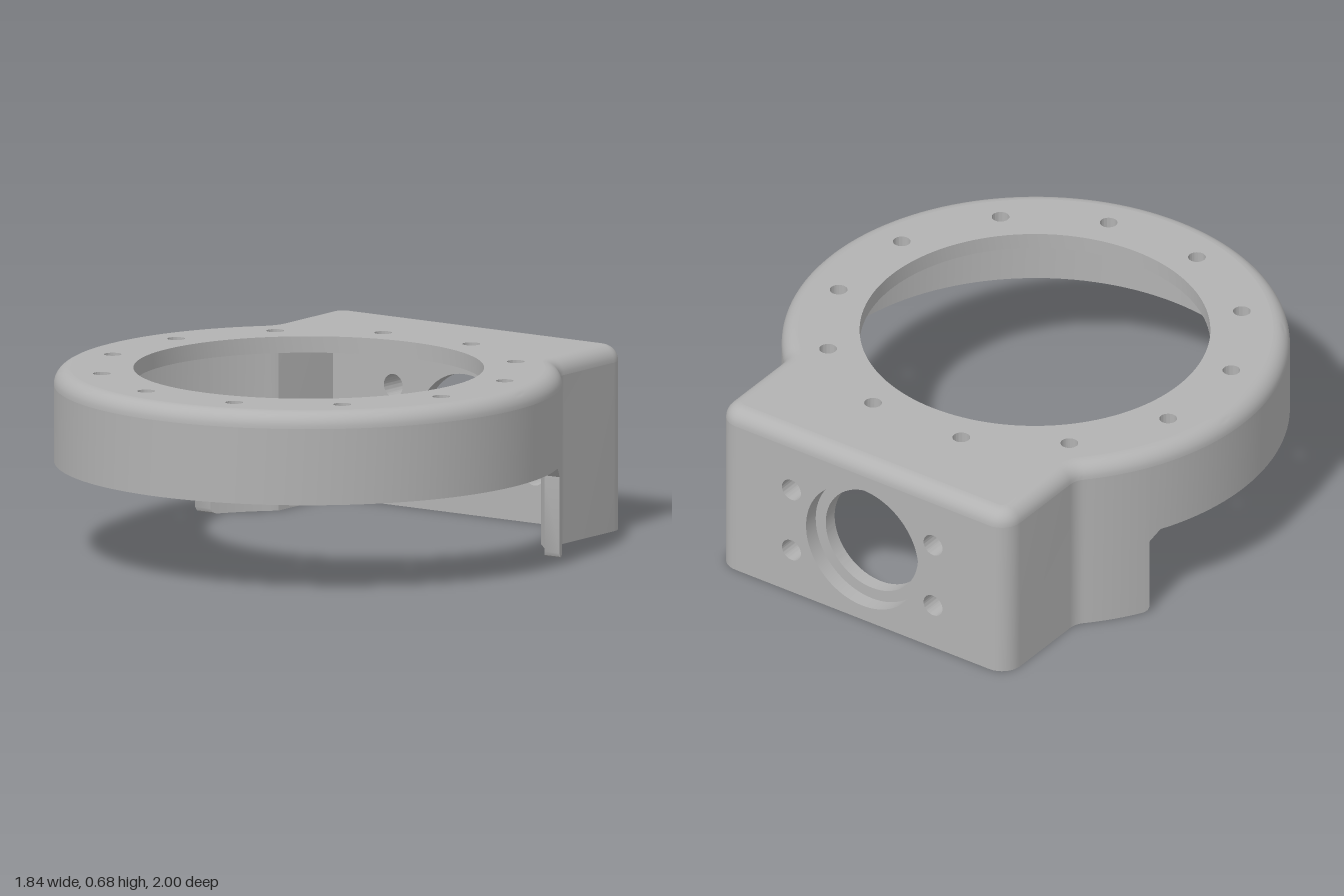
import * as THREE from 'three';
import { toCreasedNormals } from 'three/addons/utils/BufferGeometryUtils.js';

const ZC = 0.08;          // centre of the round part
const TOP = 0.68, UNDER = 0.62, RIM = 0.34;
const WALL = 0.06;
// z and bottom height along the cut where the deep skirt begins
const CUT = [[-0.31, RIM], [-0.35, 0.3], [-0.35, 0.02], [-0.356, 0.006], [-0.37, 0]];

// Outline (round front, square back) as stations [x, z, bottom], left rear to right rear
function outline(o, f = 0.08 + o) {
  const R = 0.92 - o, w = 0.645 - o, zb = -1 + o, r = 0.08 - o;
  const half = [];
  const arc = (cx, cz, rad, a, b, n, bottom) => {
    for (let i = 0; i <= n; i++) {
      const t = a + (b - a) * i / n;
      half.push([cx + rad * Math.cos(t), cz + rad * Math.sin(t), bottom]);
    }
  };
  const angleAt = z => Math.asin((z - ZC) / R);
  const zf = ZC - Math.sqrt((R + f) ** 2 - (w + f) ** 2);
  const joint = Math.atan2(zf - ZC, w + f);
  arc(0, ZC, R, Math.PI / 2, angleAt(CUT[0][0]), 44, RIM);
  for (const [z, y] of CUT) half.push([R * Math.cos(angleAt(z)), z, y]);
  arc(0, ZC, R, angleAt(-0.37), joint, 8, 0);
  arc(w + f, zf, f, joint + Math.PI, Math.PI, 6, 0);
  arc(w - r, zb + r, r, 0, -Math.PI / 2, 8, 0);
  const mirrored = half.slice(1).reverse().map(([x, z, b]) => [-x, z, b]);
  return [...mirrored, ...half];
}

// Skin a list of cross-sections
function loft(sections, closed) {
  const pos = [];
  const tri = (a, b, c) => {
    const area = b.clone().sub(a).cross(c.clone().sub(a)).length();
    if (area > 1e-9) for (const p of [a, b, c]) pos.push(p.x, p.y, p.z);
  };
  const n = sections.length;
  for (let i = 0; i < (closed ? n : n - 1); i++) {
    const s = sections[i], t = sections[(i + 1) % n];
    for (let k = 0; k < s.length - 1; k++) {
      tri(s[k], t[k], t[k + 1]);
      tri(s[k], t[k + 1], s[k + 1]);
    }
  }
  const g = new THREE.BufferGeometry();
  g.setAttribute('position', new THREE.Float32BufferAttribute(pos, 3));
  return toCreasedNormals(g, 0.5);
}

function addHole(shape, x, y, r) {
  shape.holes.push(new THREE.Path().absarc(x, y, r, 0, Math.PI * 2, true));
}

function extrude(shape, depth) {
  const g = new THREE.ExtrudeGeometry(shape, { depth, bevelEnabled: false, curveSegments: 64 });
  return toCreasedNormals(g, 0.5);
}

export function createModel() {
  const group = new THREE.Group();
  const grey = new THREE.MeshStandardMaterial({ color: 0xb2b2b2 });
  grey.name = 'plain grey';
  const add = (name, geometry) => {
    const m = new THREE.Mesh(geometry, grey);
    m.name = name;
    group.add(m);
    return m;
  };
  const V = (x, y, z) => new THREE.Vector3(x, y, z);

  // Side wall: shallow around the front, deep skirt towards the back
  const outer = outline(0), inner = outline(WALL, 0.01);
  add('sideWall', loft(outer.map(([x, z, b], i) => {
    const [ix, iz] = inner[i];
    return [V(x, b, z), V(x, UNDER, z), V(ix, UNDER, iz), V(ix, b, iz), V(x, b, z)];
  }), false));

  // Rounded top edge
  const steps = 8;
  const rows = Array.from({ length: steps + 1 }, (_, k) => {
    const a = k / steps * Math.PI / 2;
    return { y: UNDER + WALL * Math.sin(a), pts: outline(WALL * (1 - Math.cos(a))) };
  });
  add('roundedTopEdge', loft(outer.map((_, i) =>
    rows.map(({ y, pts }) => V(pts[i][0], y, pts[i][1]))), true));

  // Top plate with the large opening and twelve bolt holes
  const unique = outline(WALL).filter(([x, z], i, all) =>
    i === 0 || Math.hypot(x - all[i - 1][0], z - all[i - 1][1]) > 1e-6);
  const plate = new THREE.Shape(unique.map(([x, z]) => new THREE.Vector2(x, -z)));
  addHole(plate, 0, -0.075, 0.635);
  for (let i = 0; i < 12; i++) {
    const a = (i + 0.5) * Math.PI / 6;
    addHole(plate, 0.759 * Math.cos(a), -0.075 + 0.759 * Math.sin(a), 0.032);
  }
  add('topPlate', extrude(plate, TOP - UNDER).rotateX(-Math.PI / 2)).position.y = UNDER;

  // Back wall in two layers, forming a stepped round opening and four screw holes
  const backLayer = (name, halfWidth, holeRadius, z, depth) => {
    const s = new THREE.Shape([
      new THREE.Vector2(-halfWidth, 0), new THREE.Vector2(halfWidth, 0),
      new THREE.Vector2(halfWidth, UNDER), new THREE.Vector2(-halfWidth, UNDER)]);
    addHole(s, 0, 0.31, holeRadius);
    for (const x of [-0.315, 0.315]) for (const y of [0.18, 0.44]) addHole(s, x, y, 0.042);
    add(name, extrude(s, depth)).position.z = z;
  };
  backLayer('backWallOuter', 0.565, 0.25, -1, 0.06);
  backLayer('backWallInner', 0.585, 0.205, -0.94, 0.055);

  return group;
}
